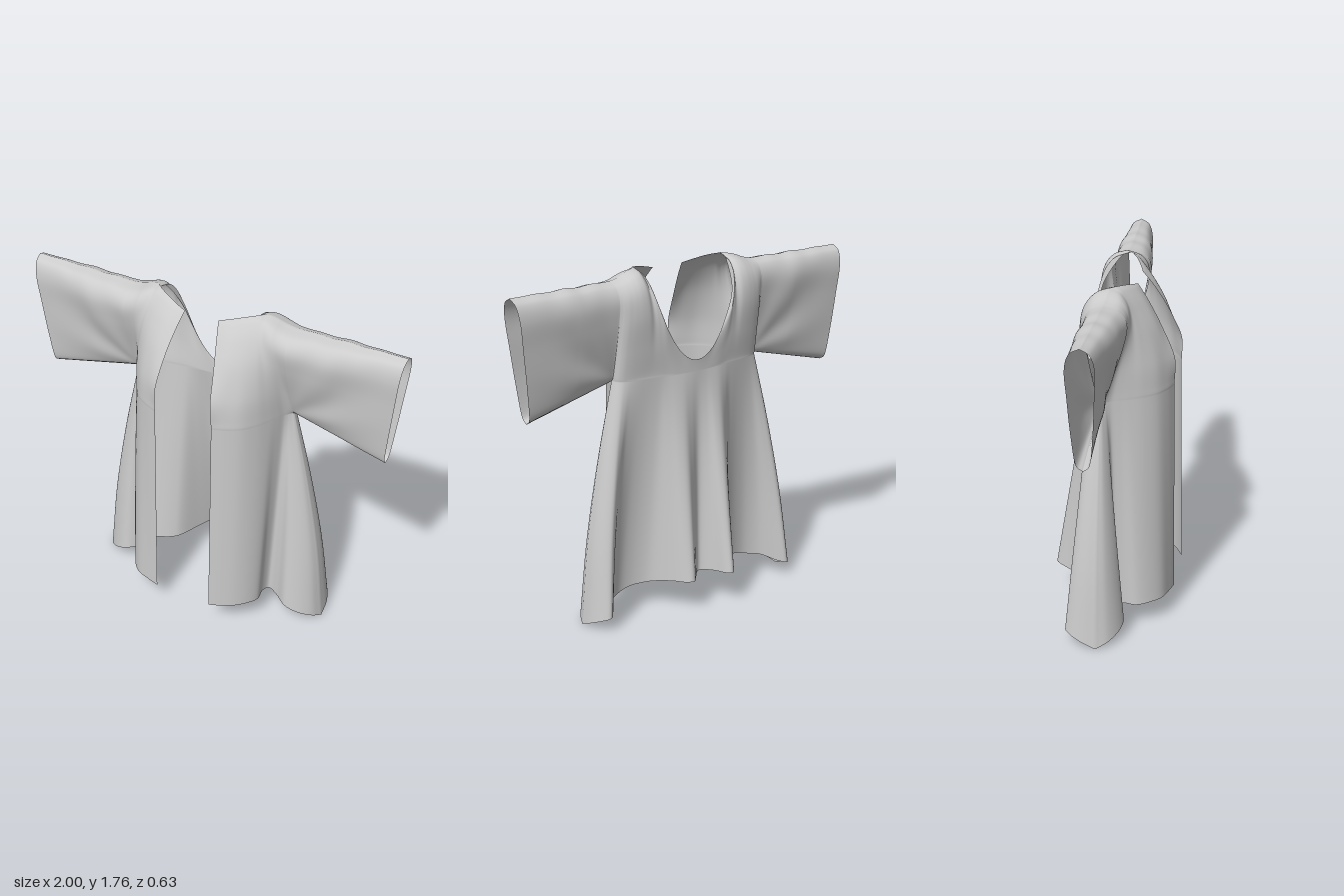
import * as THREE from 'three';
import { mergeVertices } from 'three/addons/utils/BufferGeometryUtils.js';

const lerp = (a, b, t) => a + (b - a) * t;
const mix = (p, q, t) => p.map((v, i) => lerp(v, q[i], t));
const flipX = ([x, y, z]) => [-x, y, z];

// Smooth curve through points, s in segments
function spline(pts, s) {
  const n = pts.length - 1, i = Math.min(Math.floor(s), n - 1), t = s - i;
  const b = pts[i], c = pts[i + 1];
  const a = i > 0 ? pts[i - 1] : b.map((v, k) => 2 * v - c[k]);
  const d = i < n - 1 ? pts[i + 2] : c.map((v, k) => 2 * v - b[k]);
  return b.map((v, k) => 0.5 * (2 * v + (c[k] - a[k]) * t
    + (2 * a[k] - 5 * v + 4 * c[k] - d[k]) * t * t
    + (3 * v - a[k] - 3 * c[k] + d[k]) * t * t * t));
}

// Cloth patch: columns of control points, each running upwards.
// Coordinates are rounded so that neighbouring patches weld exactly.
function patch(columns, nu = 6, nv = 8, deform = p => p) {
  const U = (columns.length - 1) * nu, V = (columns[0].length - 1) * nv;
  const grid = [];
  for (let j = 0; j <= V; j++) {
    const row = columns.map(c => spline(c, j / nv));
    const line = [];
    for (let i = 0; i <= U; i++) {
      line.push(deform(spline(row, i / nu), j / V).map(v => Math.round(v * 1e5) / 1e5));
    }
    grid.push(line);
  }
  const tris = [];
  for (let j = 0; j < V; j++) for (let i = 0; i < U; i++) {
    const a = grid[j][i], b = grid[j][i + 1], c = grid[j + 1][i + 1], d = grid[j + 1][i];
    tris.push([a, b, c], [a, c, d]);
  }
  return tris;
}
const mirror = tris => tris.map(([a, b, c]) => [flipX(a), flipX(c), flipX(b)]);

// Bulge of the cloth from underarm level (0) to shoulder ridge (1)
const LEVELS = [0, 0.06, 0.3, 0.6, 0.82, 0.95, 1];
const ARMPIT = [0, 0.17, 0.5, 0.87, 1, 0.68, 0];
const CUFF = [0, 0.5, 0.72, 0.9, 1, 0.7, 0];
const BODY = [0, 0.02, 0.33, 0.82, 1, 0.7, 0];
const LAPEL = [0, 0.1, 1, 0.1, 0, 0, 0];
const blend = (p, q, k) => p.map((v, i) => lerp(v, q[i], k));
const rise = (bottom, top, bulge, profile) => LEVELS.map((t, i) => {
  const p = mix(bottom, top, t);
  return [p[0], p[1], p[2] + bulge * profile[i]];
});
// Body cloth leaves the chest upright, then leans in to the shoulder;
// k runs from 0 at the middle to 1 at the armpit
const bodyRise = (bottom, top, bulge, profile, k) =>
  rise(bottom, top, bulge, blend(profile, ARMPIT, k)).map(([x, y, z], i) => {
    const t = LEVELS[i], ease = (1 - k) * t * (1 - t);
    return [x + (bottom[0] - top[0]) * ease, y, z + (bottom[2] - top[2]) * ease];
  });
// Hem to underarm, the flared sides bowing outwards
const skirt = (hem, chest) => [0, 1 / 3, 2 / 3, 1].map(t => {
  const [x, y, z] = mix(hem, chest, t);
  return [x * (1 + 0.21 * t * (1 - t) * Math.abs(hem[0] / 0.64) ** 3), y, z];
});
const atChest = ([x, z]) => [x, 1.23, z];

// Front panels, from the open edge to the side seam
const flare = [[0.415, 0.105, 0.05], [0.48, 0.09, 0.09], [0.55, 0.06, 0.075], [0.61, 0.03, 0.03], [0.64, 0, -0.03]];
const rightHem = [[0.16, 0.125, 0.305], [0.22, 0.125, 0.288], [0.3, 0.125, 0.26], [0.355, 0.125, 0.205],
  [0.385, 0.12, 0.14], [0.375, 0.12, 0.075], [0.38, 0.115, 0.03], ...flare];
const leftHem = [[0.15, 0.125, 0.31], [0.21, 0.125, 0.285], [0.27, 0.125, 0.25], [0.32, 0.125, 0.2],
  [0.35, 0.12, 0.14], [0.342, 0.12, 0.075], [0.36, 0.115, 0.03], ...flare];
const frontChest = [[0.155, 0.29], [0.22, 0.265], [0.285, 0.225], [0.335, 0.165], [0.368, 0.105], [0.39, 0.055],
  [0.404, 0.02], [0.415, 0.002], [0.424, -0.01], [0.43, -0.018], [0.436, -0.024], [0.44, -0.03]].map(atChest);
const frontTop = [[0.09, 1.72, 0.1], [0.15, 1.735, 0.08], [0.21, 1.75, 0.055], [0.27, 1.76, 0.02],
  [0.29, 1.76, 0], [0.32, 1.755, -0.01], [0.35, 1.745, -0.014], [0.37, 1.737, -0.016],
  [0.39, 1.73, -0.018], [0.41, 1.725, -0.019], [0.425, 1.722, -0.02], [0.44, 1.72, -0.02]];
const frontBulge = [0.016, 0.015, 0.02, 0.035, 0.06, 0.085, 0.1, 0.105, 0.11, 0.114, 0.117, 0.12];
const frontPanel = hem => [
  ...patch(hem.map((h, i) => skirt(h, frontChest[i]))),
  ...patch(frontChest.map((c, i) =>
    bodyRise(c, frontTop[i], frontBulge[i], i === 0 ? LAPEL : BODY, (i / 11) ** 2))),
];

// Back panel, from the left side seam round to the right one
const sideHem = [[0.64, 0, -0.03], [0.635, 0.03, -0.1], [0.612, 0.055, -0.16], [0.575, 0.07, -0.19],
  [0.535, 0.08, -0.15], [0.49, 0.1, -0.075], [0.42, 0.11, -0.035], [0.35, 0.13, -0.035],
  [0.28, 0.14, -0.06], [0.235, 0.15, -0.1]];
const foldHem = [[0.19, 0.165, -0.18], [0.155, 0.172, -0.25], [0.115, 0.175, -0.272], [0.065, 0.17, -0.22],
  [0.005, 0.17, -0.165], [-0.045, 0.175, -0.22], [-0.072, 0.18, -0.3], [-0.11, 0.18, -0.31], [-0.175, 0.165, -0.21]];
const backHem = [...sideHem, ...foldHem, ...sideHem.map(flipX).reverse()];
const whole = half => [...half, ...half.slice(0, -1).reverse().map(flipX)];
const backChest = whole([[0.44, -0.03], [0.437, -0.05], [0.43, -0.068], [0.415, -0.083], [0.395, -0.093],
  [0.365, -0.102], [0.325, -0.11], [0.285, -0.116], [0.25, -0.121], [0.215, -0.126], [0.18, -0.131],
  [0.135, -0.138], [0.09, -0.142], [0.045, -0.144], [0, -0.145]].map(atChest));
const neckline = [[0.266, 1.735, -0.035], [0.235, 1.6, -0.12], [0.175, 1.46, -0.138],
  [0.115, 1.36, -0.144], [0.055, 1.305, -0.146], [0, 1.29, -0.147]];
const backTop = whole([...frontTop.slice(3).reverse(), ...neckline]);
const halfBulge = [0.085, 0.086, 0.087, 0.088, 0.088, 0.088, 0.088, 0.086, 0.08, 0.06, 0.026, 0.008, 0, 0, 0];
const backPanel = () => [
  ...patch(backHem.map((h, i) => skirt(h, backChest[i]))),
  ...patch(backChest.map((c, i) => {
    const n = Math.min(i, 28 - i);
    return bodyRise(c, backTop[i], -halfBulge[n], BODY, (1 - n / 14) ** 4);
  })),
];

// Sleeve half: side +1 front, -1 back; soft creases fan out from the armpit
function sleeveHalf(side) {
  const frontW = [0.12, 0.103, 0.088, 0.076, 0.065], backW = [0.085, 0.08, 0.08, 0.075, 0.07];
  const columns = frontW.map((w, i) => {
    const k = i / 4;
    return rise([lerp(0.44, 0.93, k), lerp(1.23, 1.107, k), -0.03], [lerp(0.44, 1, k), 1.72, lerp(-0.02, -0.03, k)],
      side > 0 ? w : -backW[i], blend(ARMPIT, CUFF, k));
  });
  if (side < 0) columns.reverse();
  return patch(columns, 12, 8, ([x, y, z], t) => {
    const out = Math.max(0, x - 0.44);
    const fade = Math.min(1, out / 0.22) * Math.max(0, 1 - out / 0.56);
    const angle = Math.atan2(y - 1.23, out + 0.04);
    return [x, y + 0.006 * Math.sin(38 * x) * fade * t,
      z + side * 0.012 * Math.sin(8 * angle) * fade * 4 * t * (1 - t)];
  });
}

export function createModel() {
  const sleeve = [...sleeveHalf(1), ...sleeveHalf(-1)];
  const parts = {
    leftFrontPanel: frontPanel(leftHem), rightFrontPanel: mirror(frontPanel(rightHem)),
    backPanel: backPanel(), leftSleeve: sleeve, rightSleeve: mirror(sleeve),
  };

  // Weld all panels so the shading runs smoothly over the seams
  const cloth = new THREE.BufferGeometry();
  cloth.setAttribute('position', new THREE.Float32BufferAttribute(Object.values(parts).flat(3), 3));
  const welded = mergeVertices(cloth, 1e-4);
  welded.computeVertexNormals();
  const index = Array.from(welded.index.array);

  // Divide the welded cloth into its named panels
  const robe = new THREE.Group();
  robe.name = 'openRobe';
  const material = new THREE.MeshStandardMaterial({ color: 0xcccccc, side: THREE.DoubleSide });
  let start = 0;
  for (const [name, tris] of Object.entries(parts)) {
    const piece = welded.clone();
    piece.setIndex(index.slice(start, start + tris.length * 3));
    start += tris.length * 3;
    const mesh = new THREE.Mesh(piece.toNonIndexed(), material);
    mesh.name = name;
    robe.add(mesh);
  }
  return robe;
}
